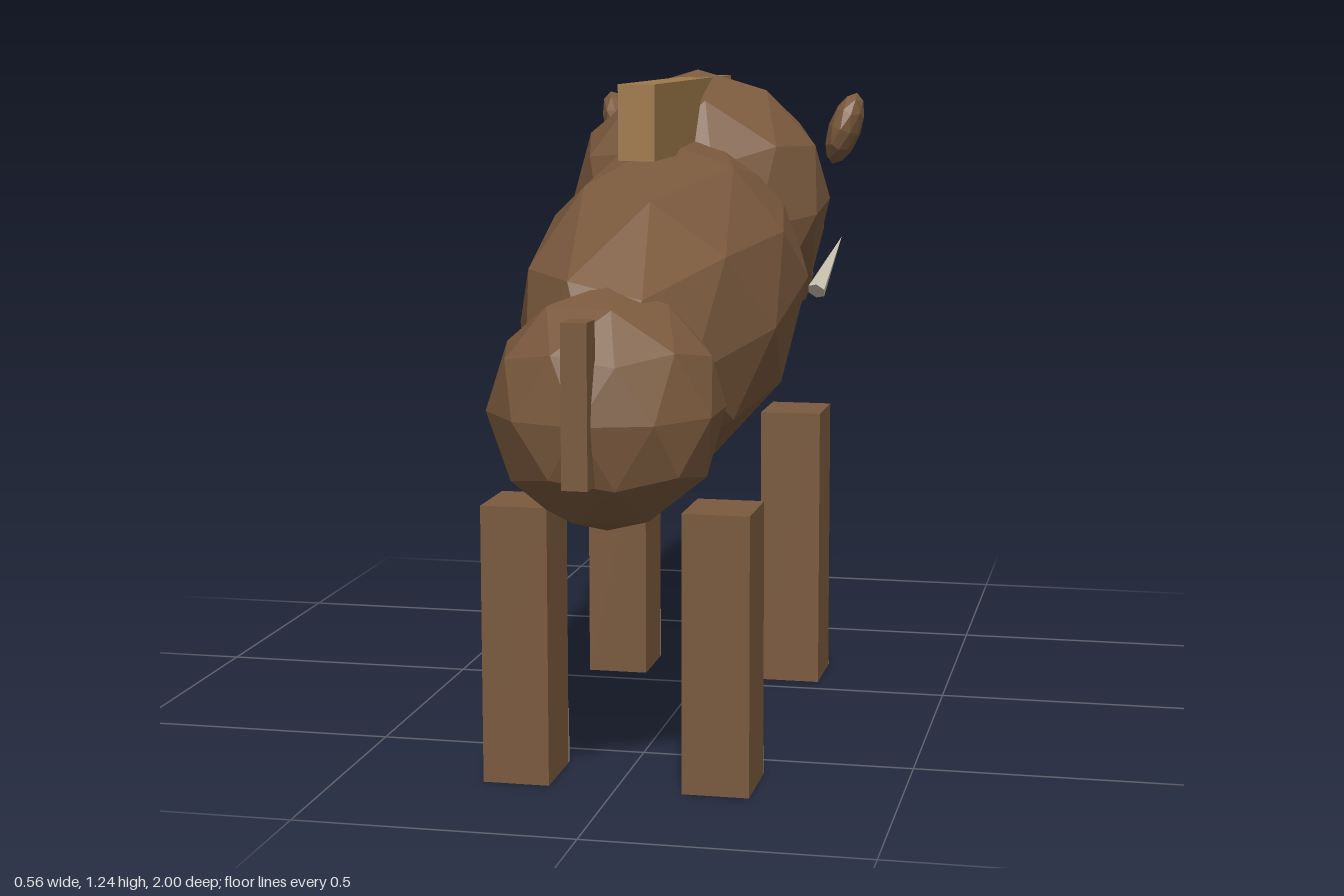
import * as THREE from 'three';

const flat = (color, name) => {
  const m = new THREE.MeshStandardMaterial({ color, flatShading: true });
  m.name = name;
  return m;
};

export function createModel() {
  const hide = flat(0x7b5a3e, 'brown hide');
  const bristle = flat(0xa07a4a, 'tan bristle');
  const ivory = flat(0xc8c0ae, 'ivory');
  const pink = flat(0xd4aca4, 'pink nose');
  const group = new THREE.Group();
  group.name = 'boar';

  const add = (name, geometry, material, position, rotation = [0, 0, 0]) => {
    const mesh = new THREE.Mesh(geometry, material);
    mesh.name = name;
    mesh.position.set(...position);
    mesh.rotation.set(...rotation);
    group.add(mesh);
    return mesh;
  };
  // Faceted ball with a corner pointing straight up, stretched to the given radii
  const ball = (...radii) =>
    new THREE.IcosahedronGeometry(1, 1).rotateZ(-Math.atan(2 / (1 + Math.sqrt(5)))).scale(...radii);
  const box = (...size) => new THREE.BoxGeometry(...size);

  // Trunk and head
  add('body', ball(0.25, 0.3, 0.6), hide, [0, 0.82, 0.28], [0.15, 0, 0]);
  add('shoulders', ball(0.26, 0.27, 0.28), hide, [0, 0.975, -0.03], [0.12, 0, 0]);
  add('rump', ball(0.205, 0.212, 0.21), hide, [0, 0.687, 0.775]);
  add('head', ball(0.178, 0.205, 0.24), hide, [0, 0.89, -0.48]);
  add('snout', ball(0.105, 0.102, 0.135), hide, [0, 0.754, -0.81]);
  add('nose', ball(0.077, 0.064, 0.035), pink, [0, 0.737, -0.965]);

  // Mane ridge and tail
  add('mane', box(0.066, 0.135, 0.72), bristle, [0, 1.161, 0.185]);
  add('tail', box(0.044, 0.275, 0.055), hide, [0, 0.723, 0.9725]);

  for (const side of [1, -1]) {
    const label = side > 0 ? 'left' : 'right';
    // Ears lean outward
    add(label + 'Ear', ball(0.034, 0.079, 0.067), hide, [side * 0.24, 1.113, -0.367], [0, 0, -side * 0.33]);

    // Tusks sweep forward, up and out
    const root = new THREE.Vector3(side * 0.115, 0.72, -0.797);
    const tip = new THREE.Vector3(side * 0.153, 0.835, -0.935);
    const tusk = add(label + 'Tusk', new THREE.ConeGeometry(0.022, root.distanceTo(tip), 6), ivory,
      root.clone().add(tip).multiplyScalar(0.5).toArray());
    tusk.quaternion.setFromUnitVectors(new THREE.Vector3(0, 1, 0), tip.sub(root).normalize());

    // Legs, each with a hoof plate on its leading face
    for (const [end, z, height] of [['Front', -0.12, 0.555], ['Back', 0.66, 0.5]]) {
      add(label + end + 'Leg', box(0.12, height, 0.14), hide, [side * 0.18, height / 2, z]);
      add(label + end + 'Hoof', box(0.118, 0.1, 0.009), ivory, [side * 0.18, 0.05, z - 0.0745]);
    }
  }
  return group;
}
